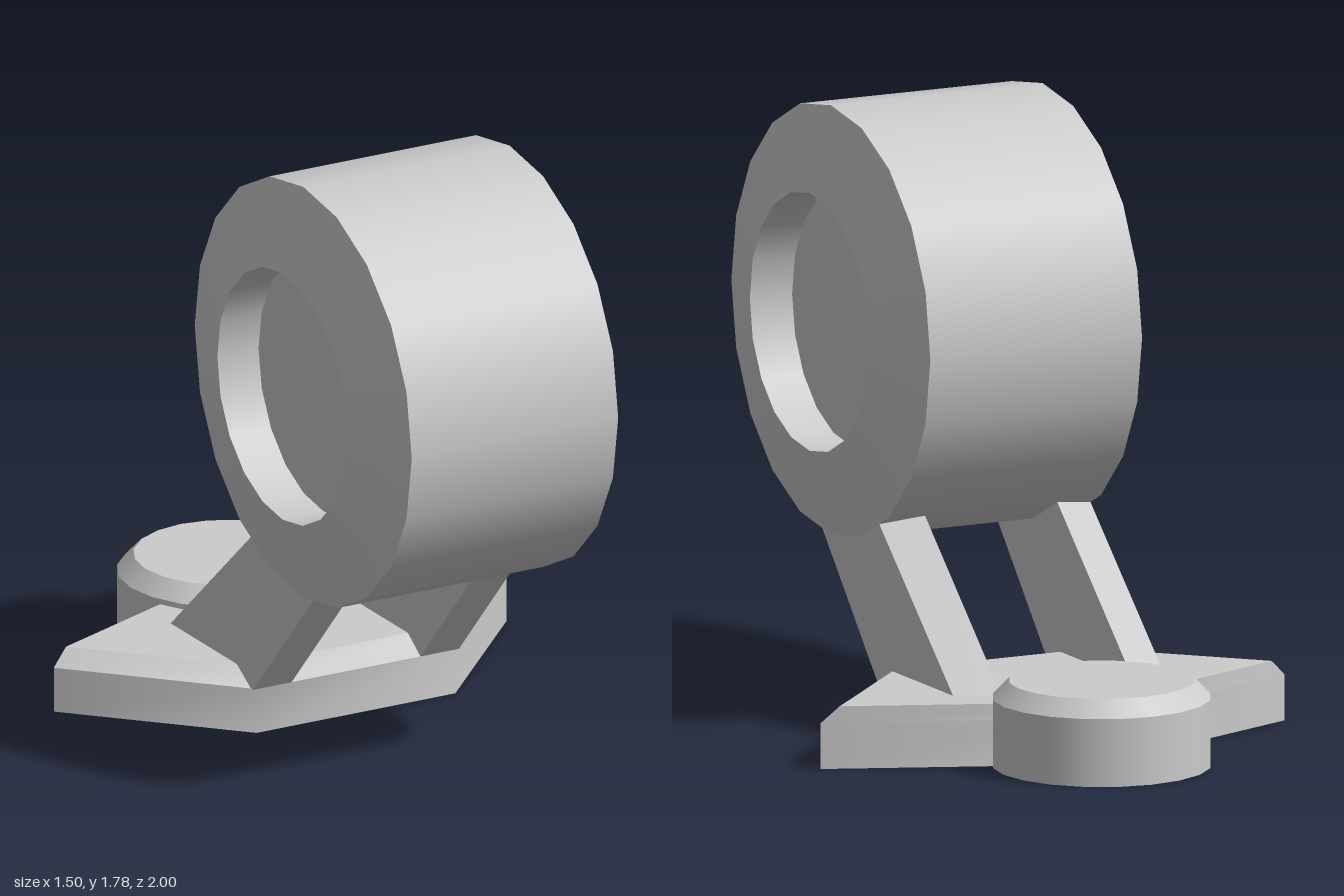
import * as THREE from 'three';
import { mergeGeometries, toCreasedNormals } from 'three/addons/utils/BufferGeometryUtils.js';

const SIDES = 20;
const CREASE = 0.85;
const material = new THREE.MeshStandardMaterial({ color: 0xcccccc });
const openMaterial = new THREE.MeshStandardMaterial({ color: 0xcccccc, side: THREE.DoubleSide });

// Turned solid: smooth around the axis, sharp between profile segments ([radius, y] points, bottom to top)
function turned(profile) {
  const bands = [];
  for (let i = 0; i < profile.length - 1; i++) {
    const pair = [profile[i], profile[i + 1]].map(([r, y]) => new THREE.Vector2(r, y));
    bands.push(new THREE.LatheGeometry(pair, SIDES));
  }
  return mergeGeometries(bands);
}

// Surface patch from a list of corner points, three per triangle; shallow corners are smoothed
function patch(points) {
  const geo = new THREE.BufferGeometry();
  geo.setAttribute('position', new THREE.Float32BufferAttribute(points.flat(), 3));
  return toCreasedNormals(geo, CREASE);
}

// Solid through stacked rings of [x, y, z] points, counter-clockwise seen from above; sharp between bands
function loft(rings) {
  const bottom = rings[0], top = rings[rings.length - 1];
  const n = bottom.length;
  const patches = [];
  for (let k = 0; k < rings.length - 1; k++) {
    const lo = rings[k], hi = rings[k + 1];
    const band = [];
    for (let i = 0; i < n; i++) {
      const j = (i + 1) % n;
      band.push(lo[i], lo[j], hi[j], lo[i], hi[j], hi[i]);
    }
    patches.push(patch(band));
  }
  const bottomCap = [], topCap = [];
  for (let i = 1; i < n - 1; i++) {
    bottomCap.push(bottom[0], bottom[i + 1], bottom[i]);
    topCap.push(top[0], top[i], top[i + 1]);
  }
  return mergeGeometries([...patches, patch(bottomCap), patch(topCap)]);
}

export function createModel() {
  const group = new THREE.Group();
  const add = (name, geometry, mat = material) => {
    const mesh = new THREE.Mesh(geometry, mat);
    mesh.name = name;
    group.add(mesh);
    return mesh;
  };

  // Drum lying on its side, with conical flanks and recessed hubs
  const half = [[0.633, 0.343], [0.38, 0.412], [0.38, 0.275], [0, 0.275]];
  const mirrored = half.map(([r, y]) => [r, -y]).reverse();
  const drum = add('drum', turned([...mirrored, ...half]));
  drum.rotation.z = Math.PI / 2;
  drum.position.set(0, 1.148, 0.367);

  // Arrow-shaped base plate, bevelled along the front and sides
  const plateRing = (y, fx, fz, sx, sz) =>
    [[-fx, y, fz], [fx, y, fz], [sx, y, sz], [0, y, -0.68], [-sx, y, sz]];
  add('basePlate', loft([
    plateRing(0, 0.33, 0.073, 0.752, -0.37),
    plateRing(0.135, 0.33, 0.073, 0.752, -0.37),
    plateRing(0.184, 0.32, 0, 0.7, -0.39),
  ]));

  // Round foot at the back, open underneath
  const foot = add('rearFoot', turned([[0.318, 0], [0.318, 0.2], [0.27, 0.25], [0, 0.25]]), openMaterial);
  foot.position.z = -0.682;

  // Two leaning struts whose back faces are cut at a slant
  const strutRing = (side, y, front, backOuter, backInner) => {
    const ring = [[0.214, front], [0.342, front], [0.342, backOuter], [0.214, backInner]]
      .map(([x, z]) => [side * x, y, z]);
    return side > 0 ? ring : ring.reverse();
  };
  for (const side of [1, -1]) {
    add(side > 0 ? 'leftStrut' : 'rightStrut', loft([
      strutRing(side, 0.135, 0.073, -0.463, -0.52),
      strutRing(side, 0.7, 0.583, 0.17, 0.107),
    ]));
  }

  return group;
}
